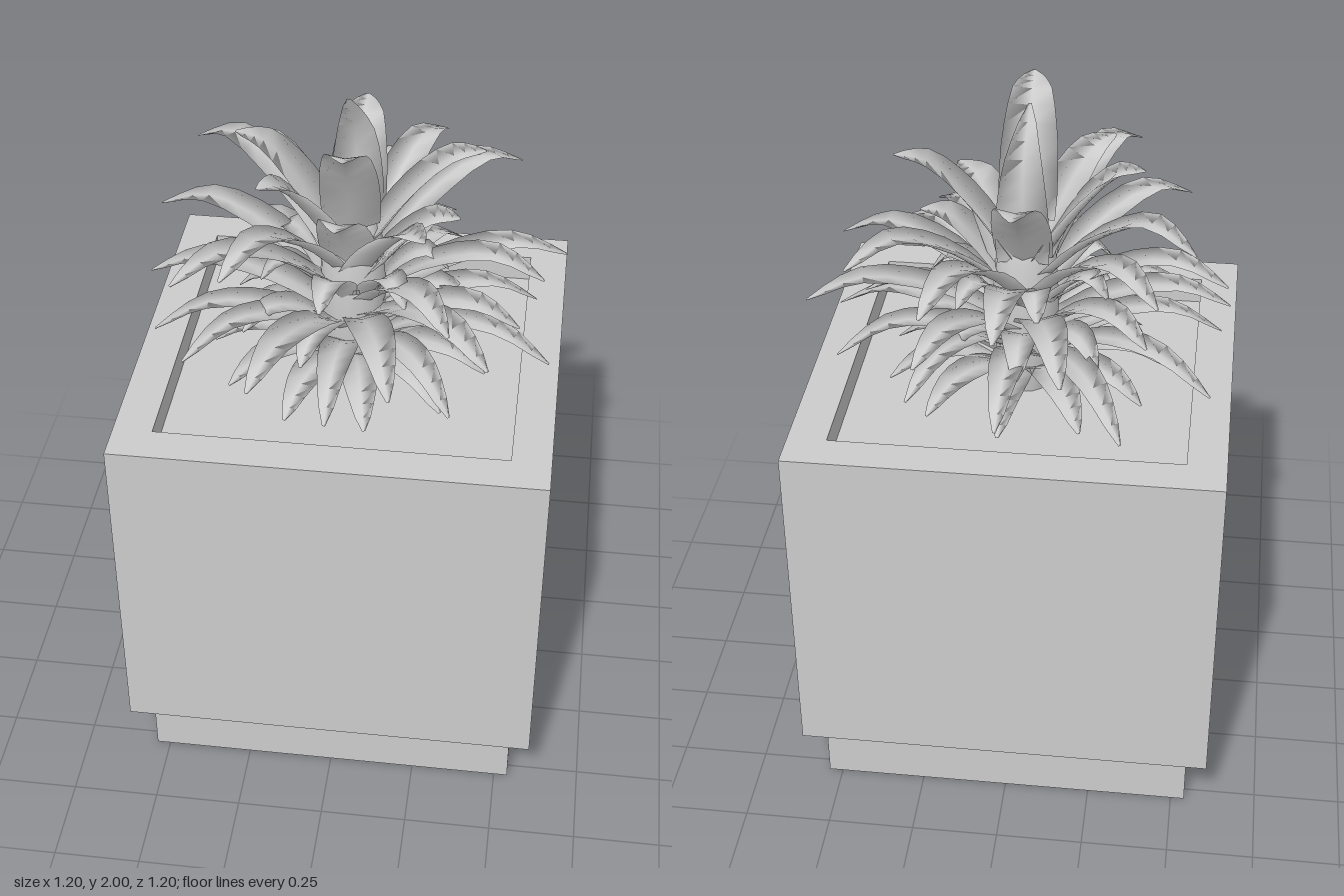
import * as THREE from 'three';

const grey = new THREE.MeshStandardMaterial({ color: 0xcccccc });
grey.name = 'plain grey';

// Width along the leaf, from stem to tip
const SLENDER = [0.75, 0.85, 0.94, 1, 1, 0.92, 0.78, 0.6, 0.4, 0.08];
const BROAD = [0.95, 1, 1, 0.97, 0.9, 0.8, 0.67, 0.5, 0.32, 0.06];

function addMesh(parent, name, geometry, x = 0, y = 0, z = 0) {
  const mesh = new THREE.Mesh(geometry, grey);
  mesh.name = name;
  mesh.position.set(x, y, z);
  parent.add(mesh);
  return mesh;
}

// Channelled blade swept along a path; "out" is the compass direction it leans to
function leafGeometry(points, out, width, profile) {
  const curve = new THREE.CatmullRomCurve3(points);
  const side = new THREE.Vector3(out.z, 0, -out.x).normalize();
  const section = [[1, 0.22], [0, 0.04], [-1, 0.22], [0, -0.18]];
  const positions = [], indices = [];
  profile.forEach((scale, i) => {
    const u = i / (profile.length - 1);
    const p = curve.getPoint(u);
    const normal = curve.getTangent(u).cross(side).normalize();
    const half = scale * width / 2;
    for (const [a, b] of section) {
      const v = p.clone().addScaledVector(side, a * half).addScaledVector(normal, b * half);
      positions.push(v.x, v.y, v.z);
    }
    if (i === 0) return;
    for (let j = 0; j < 4; j++) {
      const k = (j + 1) % 4, r = (i - 1) * 4, s = i * 4;
      indices.push(r + j, r + k, s + k, r + j, s + k, s + j);
    }
  });
  const geometry = new THREE.BufferGeometry();
  geometry.setAttribute('position', new THREE.Float32BufferAttribute(positions, 3));
  geometry.setIndex(indices);
  geometry.computeVertexNormals();
  return geometry;
}

// Leaf from the stem to its tip; "bend" lists [reach, rise, lift] along the way
function addLeaf(parent, name, [x, y, z], width, profile, bend) {
  const out = new THREE.Vector3(x, 0, z);
  const reach = out.length();
  out.normalize();
  const base = 1.2 + 0.55 * (y - 1.2);
  const points = [[0, 0, 0], ...bend, [1, 1, 0]].map(([f, rise, lift]) => out.clone()
    .multiplyScalar(0.05 + (reach - 0.05) * f)
    .setY(base + (y - base) * rise + lift));
  addMesh(parent, name, leafGeometry(points, out, width, profile), 0, 0, 0);
}

export function createModel() {
  const model = new THREE.Group();
  model.name = 'pottedPlant';

  // Square planter with an open top
  const pot = new THREE.Group();
  pot.name = 'planter';
  model.add(pot);
  const square = (Type, h) => new Type([[-h, -h], [h, -h], [h, h], [-h, h]].map(p => new THREE.Vector2(...p)));
  const outline = square(THREE.Shape, 0.6);
  outline.holes.push(square(THREE.Path, 0.49));
  const walls = new THREE.ExtrudeGeometry(outline, { depth: 1.01, bevelEnabled: false });
  walls.rotateX(-Math.PI / 2);
  addMesh(pot, 'planterWalls', walls, 0, 0.19, 0);
  addMesh(pot, 'plinth', new THREE.BoxGeometry(1.08, 0.19, 1.08), 0, 0.095, 0);
  addMesh(pot, 'soil', new THREE.BoxGeometry(0.98, 0.93, 0.98), 0, 0.655, 0);

  // Short stem hidden among the leaves
  const plant = new THREE.Group();
  plant.name = 'plant';
  model.add(plant);
  const stem = [[0.07, 1.11], [0.09, 1.25], [0.095, 1.4], [0.085, 1.55], [0.05, 1.63], [0, 1.64]];
  addMesh(plant, 'stem', new THREE.LatheGeometry(stem.map(p => new THREE.Vector2(...p)), 16));

  // Upright centre leaf with its tip curling forward
  const centre = [[0, 1.55, -0.06], [0, 1.7, -0.08], [0, 1.86, -0.06], [-0.01, 1.995, 0.01]];
  addMesh(plant, 'centreLeaf', leafGeometry(
    centre.map(p => new THREE.Vector3(...p)), new THREE.Vector3(0, 0, 1), 0.15, BROAD));

  // Crown: broad, nearly straight rising leaves, given by tip position
  const crown = [
    [0.01, 1.965, 0.29], [0, 1.82, -0.34], [-0.33, 1.84, -0.05],
    [0.36, 1.84, -0.03], [-0.23, 1.82, 0.21], [0.22, 1.7, 0.23],
    [0.3, 1.65, 0.02], [-0.02, 1.72, 0.24]
  ];
  const rising = [[0.35, 0.48, 0.02], [0.72, 0.85, 0.025]];
  crown.forEach(tip => addLeaf(plant, 'crownLeaf', tip, 0.165, BROAD, rising));

  // Middle tiers: long arching leaves
  const middle = [
    [-0.39, 1.62, -0.4], [0.22, 1.62, -0.52], [0.45, 1.64, -0.33], [-0.48, 1.7, -0.25],
    [-0.29, 1.69, 0.46], [-0.45, 1.58, 0.34], [-0.57, 1.54, -0.13], [0.54, 1.52, 0.1],
    [0.6, 1.44, -0.16], [-0.58, 1.4, 0.01], [-0.15, 1.44, -0.53], [0.41, 1.42, 0.4],
    [0.16, 1.4, 0.535], [-0.22, 1.38, 0.52], [0.03, 1.55, -0.51],
    [-0.36, 1.42, -0.28], [0.48, 1.34, 0.08], [0.3, 1.5, 0.37], [0.26, 1.4, -0.42]
  ];
  const arching = [[0.35, 0.55, 0.06], [0.72, 0.98, 0.06]];
  middle.forEach(tip => addLeaf(plant, 'middleLeaf', tip, 0.12, SLENDER, arching));

  // Low tier: leaves drooping to the rim
  const low = [
    [-0.54, 1.27, -0.27], [-0.56, 1.26, 0.1], [-0.44, 1.3, 0.3], [-0.02, 1.25, 0.47],
    [0.31, 1.24, 0.38], [0.57, 1.26, 0.13], [0.28, 1.3, -0.43], [0.03, 1.26, -0.49],
    [-0.31, 1.26, -0.51], [0.52, 1.27, -0.17]
  ];
  const drooping = [[0.35, 0.6, 0.085], [0.7, 1, 0.085]];
  low.forEach(tip => addLeaf(plant, 'lowLeaf', tip, 0.105, SLENDER, drooping));

  // Rings of short leaves filling the heart of the plant: count, reach, tip height
  [[11, 0.4, 1.18], [9, 0.34, 1.33], [7, 0.27, 1.47]].forEach(([count, reach, y], ring) => {
    for (let i = 0; i < count; i++) {
      const a = (i + 0.4 + ring * 0.3) / count * Math.PI * 2;
      addLeaf(plant, 'heartLeaf', [reach * Math.cos(a), y, reach * Math.sin(a)], 0.11, SLENDER, arching);
    }
  });
  return model;
}
